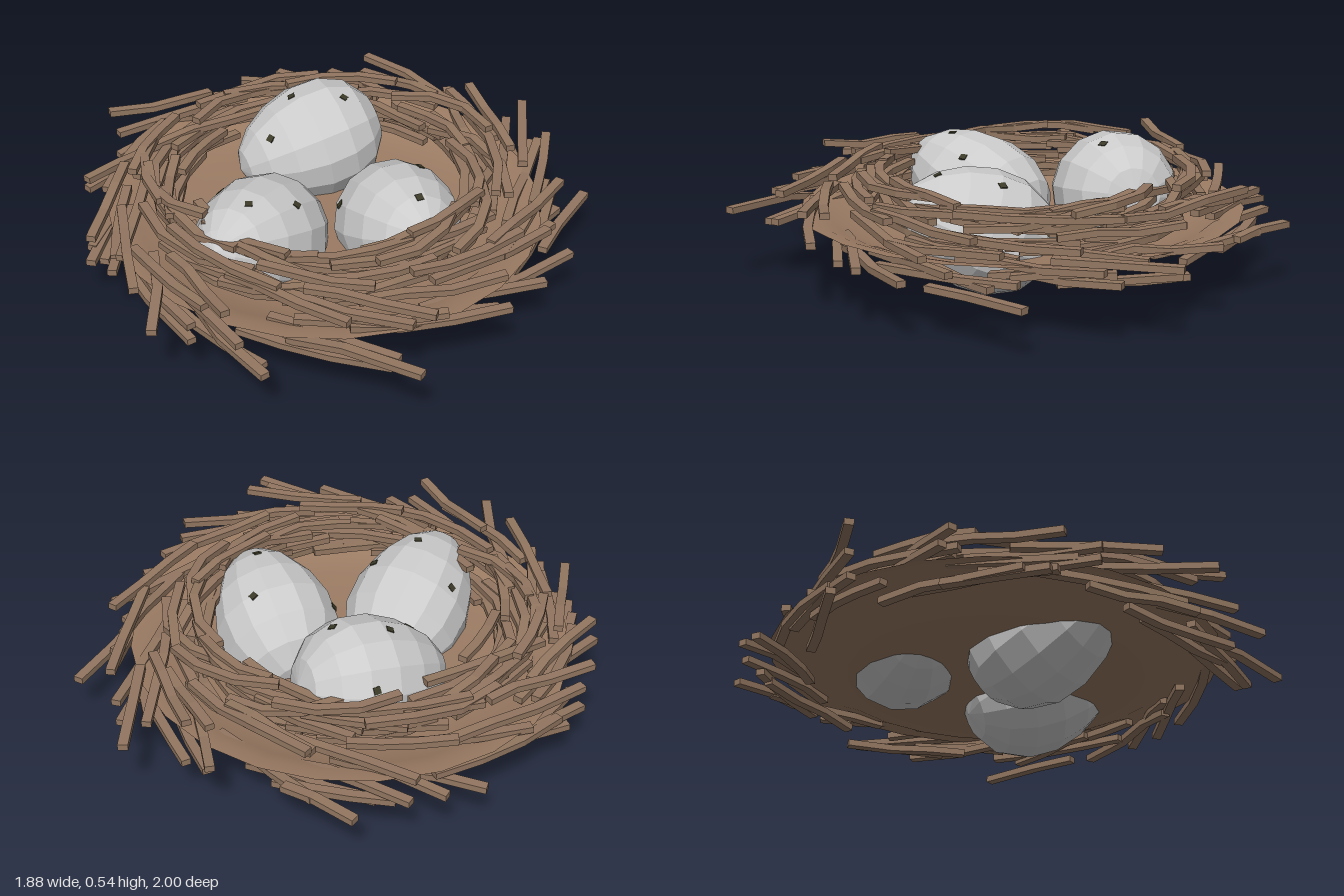
import * as THREE from 'three';
import { mergeGeometries } from 'three/addons/utils/BufferGeometryUtils.js';

const CX = -0.05, CZ = -0.08; // middle of the bowl

function seeded(seed) {
  return () => {
    seed = (seed * 1664525 + 1013904223) % 4294967296;
    return seed / 4294967296;
  };
}

// Square twig swept along a bent, nearly level path
function twigGeometry(points, w, h) {
  const rings = points.map((p, i) => {
    const a = points[Math.max(i - 1, 0)], b = points[Math.min(i + 1, points.length - 1)];
    const side = new THREE.Vector3(a.z - b.z, 0, b.x - a.x).normalize().multiplyScalar(w / 2);
    return [[-1, -1], [1, -1], [1, 1], [-1, 1]].map(([s, u]) =>
      p.clone().addScaledVector(side, s).add(new THREE.Vector3(0, u * h / 2, 0)));
  });
  const pos = [];
  const quad = (a, b, c, d) => [a, b, c, a, c, d].forEach(v => pos.push(v.x, v.y, v.z));
  for (let i = 0; i < rings.length - 1; i++) {
    for (let k = 0; k < 4; k++) {
      const n = (k + 1) % 4;
      quad(rings[i][k], rings[i + 1][k], rings[i + 1][n], rings[i][n]);
    }
  }
  const first = rings[0], last = rings[rings.length - 1];
  quad(first[0], first[1], first[2], first[3]);
  quad(last[3], last[2], last[1], last[0]);
  const g = new THREE.BufferGeometry();
  g.setAttribute('position', new THREE.Float32BufferAttribute(pos, 3));
  g.computeVertexNormals();
  return g;
}

// Ring of twigs that spiral outward around the bowl
function twigRing(name, { count, rIn, rOut, spread, arc, yMin, yMax, seed }, material) {
  const rand = seeded(seed);
  const twigs = [];
  for (let i = 0; i < count; i++) {
    const start = (i + rand() * 0.8) / count * Math.PI * 2;
    const sweep = arc * (0.75 + rand() * 0.5);
    const r0 = rIn + (rand() - 0.5) * spread, r1 = rOut + (rand() - 0.5) * spread;
    const y0 = yMin + rand() * (yMax - yMin), rise = (rand() - 0.5) * 0.04;
    const points = [0, 0.33, 0.66, 1].map(t => {
      const a = start - sweep * t, r = r0 + (r1 - r0) * t * t;
      return new THREE.Vector3(CX + r * Math.cos(a), y0 + rise * t + (rand() - 0.5) * 0.02, CZ + r * Math.sin(a));
    });
    twigs.push(twigGeometry(points, 0.034, 0.024));
  }
  const mesh = new THREE.Mesh(mergeGeometries(twigs), material);
  mesh.name = name;
  return mesh;
}

// Faceted egg, blunt at -dir and narrower at +dir, with small square speckles
function egg(name, centre, dir, halfLength, speckles, shellMat, speckleMat) {
  const group = new THREE.Group();
  group.name = name;
  const g = new THREE.SphereGeometry(1, 14, 8);
  const p = g.attributes.position;
  for (let i = 0; i < p.count; i++) {
    const t = p.getY(i), r = 0.222 * (1 - 0.17 * t);
    p.setXYZ(i, p.getX(i) * r, t * halfLength, p.getZ(i) * r);
  }
  g.computeVertexNormals();
  const shell = new THREE.Mesh(g, shellMat);
  shell.name = 'eggShell';
  shell.position.set(...centre);
  shell.quaternion.setFromUnitVectors(new THREE.Vector3(0, 1, 0), new THREE.Vector3(...dir).normalize());
  shell.updateMatrixWorld(true);
  group.add(shell);

  // Speckles dropped from above onto the shell
  const ray = new THREE.Raycaster();
  for (const [x, z] of speckles) {
    ray.set(new THREE.Vector3(x, 2, z), new THREE.Vector3(0, -1, 0));
    const hit = ray.intersectObject(shell)[0];
    if (!hit) continue;
    const normal = hit.face.normal.clone().transformDirection(shell.matrixWorld);
    const dot = new THREE.Mesh(new THREE.BoxGeometry(0.026, 0.026, 0.006), speckleMat);
    dot.name = 'speckle';
    dot.position.copy(hit.point);
    dot.lookAt(hit.point.clone().add(normal));
    group.add(dot);
  }
  return group;
}

export function createModel() {
  const model = new THREE.Group();
  model.name = 'nestWithEggs';
  const bowlMat = new THREE.MeshStandardMaterial({ color: 0x9c7c64, side: THREE.DoubleSide });
  const twigMat = new THREE.MeshStandardMaterial({ color: 0x937761, flatShading: true });
  const shellMat = new THREE.MeshStandardMaterial({ color: 0xcccccc, flatShading: true });
  const speckleMat = new THREE.MeshStandardMaterial({ color: 0x3c3a28 });

  // Bowl: shallow dish that rises outward to a thin edge
  const profile = [[0, 0.165], [0.3, 0.168], [0.5, 0.18], [0.6, 0.2], [0.68, 0.235], [0.74, 0.255], [0.79, 0.26]];
  const bowl = new THREE.Mesh(new THREE.LatheGeometry(profile.map(([r, y]) => new THREE.Vector2(r, y)), 24), bowlMat);
  bowl.name = 'bowl';
  bowl.position.set(CX, 0, CZ);
  bowl.scale.z = 1.03;
  model.add(bowl);

  // Twigs: stacked inner rim, then the outer wall from top to bottom
  model.add(twigRing('rimTwigs', { count: 46, rIn: 0.58, rOut: 0.6, spread: 0.2, arc: 0.75, yMin: 0.33, yMax: 0.41, seed: 11 }, twigMat));
  model.add(twigRing('innerTwigs', { count: 30, rIn: 0.58, rOut: 0.6, spread: 0.16, arc: 0.75, yMin: 0.24, yMax: 0.33, seed: 5 }, twigMat));
  model.add(twigRing('upperWallTwigs', { count: 26, rIn: 0.72, rOut: 0.84, spread: 0.14, arc: 0.58, yMin: 0.27, yMax: 0.38, seed: 23 }, twigMat));
  model.add(twigRing('lowerWallTwigs', { count: 36, rIn: 0.73, rOut: 0.87, spread: 0.12, arc: 0.56, yMin: 0.17, yMax: 0.28, seed: 37 }, twigMat));

  // Longest stray twigs that set the outline
  const strays = [
    [[-0.42, 0.23, 0.6], [-0.28, 0.27, 0.76], [-0.09, 0.28, 0.985]],
    [[0.45, 0.23, -0.74], [0.38, 0.24, -0.84], [0.29, 0.23, -0.98]],
    [[0.62, 0.18, 0.38], [0.74, 0.18, 0.26], [0.92, 0.18, 0.11]],
    [[0.72, 0.28, -0.02], [0.8, 0.28, -0.2], [0.9, 0.28, -0.42]],
    [[-0.74, 0.18, -0.42], [-0.83, 0.18, -0.27], [-0.93, 0.18, -0.1]],
    [[-0.74, 0.3, 0.08], [-0.78, 0.3, 0.28], [-0.86, 0.29, 0.49]],
    [[-0.66, 0.24, 0.34], [-0.63, 0.23, 0.53], [-0.55, 0.22, 0.75]],
  ].map(path => twigGeometry(path.map(p => new THREE.Vector3(...p)), 0.036, 0.024));
  const strayTwigs = new THREE.Mesh(mergeGeometries(strays), twigMat);
  strayTwigs.name = 'strayTwigs';
  model.add(strayTwigs);

  // Three eggs settled through the floor
  model.add(
    egg('frontLeftEgg', [0.168, 0.243, 0.13], [0.02, 0.42, 1], 0.29, [[-0.03, 0.03], [0.27, 0.055], [0.18, 0.27]], shellMat, speckleMat),
    egg('rightEgg', [-0.345, 0.243, 0.035], [-0.75, 0.42, 0.66], 0.31, [[-0.44, -0.1], [-0.4, 0.12], [-0.22, 0.11]], shellMat, speckleMat),
    egg('backEgg', [0, 0.308, -0.4], [-1, -0.18, 0.08], 0.285, [[-0.06, -0.42], [-0.18, -0.31], [0.12, -0.34], [0.06, -0.6]], shellMat, speckleMat),
  );
  return model;
}
